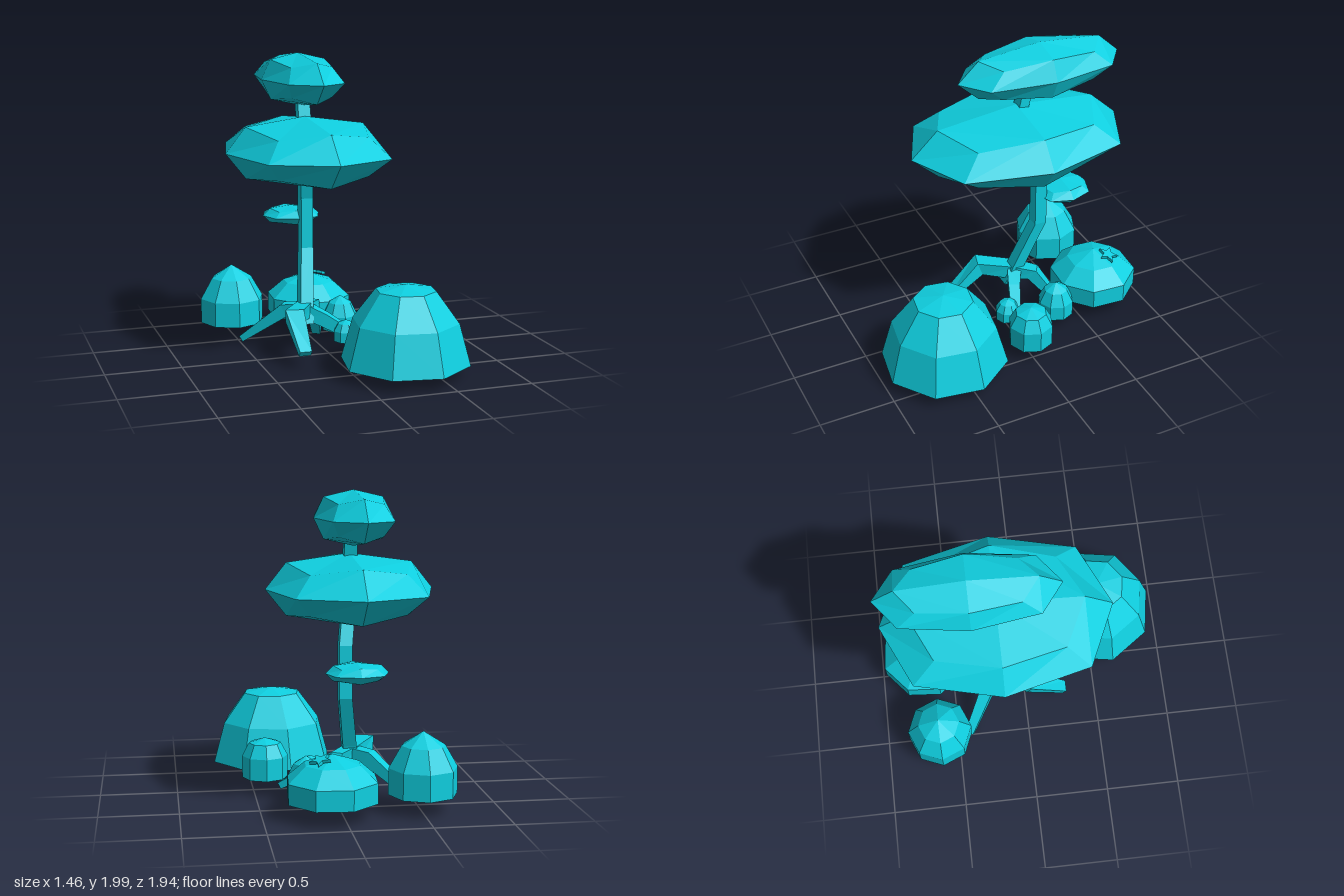
import * as THREE from 'three';

const teal = new THREE.MeshStandardMaterial({ color: 0x0fcfe0, flatShading: true, side: THREE.DoubleSide });

// Once-smoothed box: face centres stay, edges and corners are pulled in
function canopy(name, [x, y, z], [rx, ry, rz]) {
  const g = new THREE.BoxGeometry(2, 2, 2, 2, 2, 2);
  const p = g.attributes.position;
  for (let i = 0; i < p.count; i++) {
    const v = new THREE.Vector3().fromBufferAttribute(p, i);
    const n = Math.round(v.lengthSq());
    v.multiplyScalar([1, 1, 0.75, 5 / 9][n]);
    p.setXYZ(i, v.x * rx, v.y * ry, v.z * rz);
  }
  g.computeVertexNormals();
  const m = new THREE.Mesh(g, teal);
  m.name = name;
  m.position.set(x, y, z);
  return m;
}

// Eight-sided dome, open underneath; profile is [radius, height] from the bottom up
function dome(name, x, z, turn, profile) {
  const pts = profile.map(([r, y]) => new THREE.Vector2(r, y));
  const start = Math.PI / 2 - THREE.MathUtils.degToRad(turn);
  const m = new THREE.Mesh(new THREE.LatheGeometry(pts, 8, start), teal);
  m.name = name;
  m.position.set(x, 0, z);
  return m;
}

// Four-sided limb along a bent path; each point is [x, y, z, halfWidth, halfDepth]
function limb(name, path, upright = false) {
  const P = path.map(a => new THREE.Vector3(a[0], a[1], a[2]));
  const pos = [], idx = [];
  P.forEach((p, i) => {
    const t = P[Math.min(i + 1, P.length - 1)].clone().sub(P[Math.max(i - 1, 0)]).normalize();
    const side = new THREE.Vector3(1, 0, 0), other = new THREE.Vector3(0, 0, -1);
    if (!upright) {
      side.crossVectors(t, new THREE.Vector3(0, 1, 0)).normalize();
      other.crossVectors(side, t);
    }
    const [, , , w, d] = path[i];
    for (const [a, b] of [[1, 1], [-1, 1], [-1, -1], [1, -1]]) {
      const c = p.clone().addScaledVector(side, a * w).addScaledVector(other, b * d);
      pos.push(c.x, c.y, c.z);
    }
    if (i) for (let k = 0; k < 4; k++) {
      const a = (i - 1) * 4 + k, b = (i - 1) * 4 + (k + 1) % 4;
      idx.push(a, b, b + 4, a, b + 4, a + 4);
    }
  });
  const e = pos.length / 3 - 4;
  idx.push(0, 2, 1, 0, 3, 2, e, e + 1, e + 2, e, e + 2, e + 3);
  const g = new THREE.BufferGeometry();
  g.setAttribute('position', new THREE.Float32BufferAttribute(pos, 3));
  g.setIndex(idx);
  g.computeVertexNormals();
  const m = new THREE.Mesh(g, teal);
  m.name = name;
  return m;
}

// Small flat five-pointed star
function star(name, r) {
  const s = new THREE.Shape();
  for (let i = 0; i < 10; i++) {
    const a = i * Math.PI / 5, q = i % 2 ? r * 0.45 : r;
    if (i) s.lineTo(q * Math.cos(a), q * Math.sin(a));
    else s.moveTo(q, 0);
  }
  const m = new THREE.Mesh(new THREE.ExtrudeGeometry(s, { depth: 0.02, bevelEnabled: false }), teal);
  m.name = name;
  return m;
}

export function createModel() {
  const model = new THREE.Group();
  model.name = 'tree';

  // Leaf masses
  model.add(
    canopy('topCanopy', [-0.11, 1.825, -0.335], [0.25, 0.175, 0.575]),
    canopy('mainCanopy', [-0.11, 1.365, -0.17], [0.54, 0.227, 0.74]),
    canopy('smallCanopy', [-0.11, 0.875, -0.51], [0.2, 0.065, 0.195])
  );

  // Trunk
  model.add(limb('trunk', [
    [-0.13, 0.2, -0.13, 0.05, 0.05],
    [-0.11, 0.34, -0.18, 0.045, 0.045],
    [-0.063, 0.68, -0.32, 0.042, 0.042],
    [-0.063, 1.02, -0.32, 0.042, 0.042],
    [-0.1, 1.3, -0.22, 0.042, 0.04],
    [-0.11, 1.55, -0.2, 0.042, 0.035],
    [-0.11, 1.76, -0.25, 0.042, 0.035]
  ], true));

  // Roots
  const base = [-0.12, 0.28, -0.17, 0.05, 0.05];
  const roots = [
    ['backRightRoot', [-0.23, 0.27, -0.25, 0.045, 0.045], [-0.49, 0.045, -0.42, 0.03, 0.022]],
    ['backRoot', [-0.03, 0.28, -0.27, 0.04, 0.045], [0.05, 0.04, -0.43, 0.03, 0.022]],
    ['leftRoot', [0.0, 0.22, -0.11, 0.04, 0.045], [0.32, 0.03, 0.02, 0.025, 0.022]],
    ['frontRoot', [-0.25, 0.3, 0.04, 0.06, 0.05], [-0.25, 0.11, 0.28, 0.04, 0.022]]
  ];
  for (const [name, knee, tip] of roots) model.add(limb(name, [base, knee, tip]));

  // Bushes on the ground
  model.add(
    dome('largeBush', 0.325, 0.565, -13, [[0.42, 0.09], [0.345, 0.36], [0.195, 0.56], [0, 0.595]]),
    dome('rightBush', -0.51, -0.625, 0, [[0.22, 0.12], [0.22, 0.29], [0.14, 0.43], [0, 0.52]]),
    dome('backBush', 0.07, -0.69, -18, [[0.295, 0.12], [0.295, 0.25], [0.18, 0.35], [0, 0.41]]),
    dome('leftBush', 0.425, -0.02, 0, [[0.15, 0.105], [0.15, 0.25], [0.105, 0.335], [0, 0.368]]),
    dome('smallBush', 0.19, -0.335, 0, [[0.122, 0.075], [0.122, 0.18], [0.08, 0.265], [0, 0.315]]),
    dome('tinyBush', 0.12, 0.0, 0, [[0.085, 0.09], [0.085, 0.16], [0.055, 0.21], [0, 0.235]])
  );

  // Star resting on the back bush
  const s = star('star', 0.07);
  s.position.set(0.15, 0.38, -0.76);
  s.rotation.set(-Math.PI / 2 - 0.2, 0.25, 0);
  model.add(s);

  return model;
}
